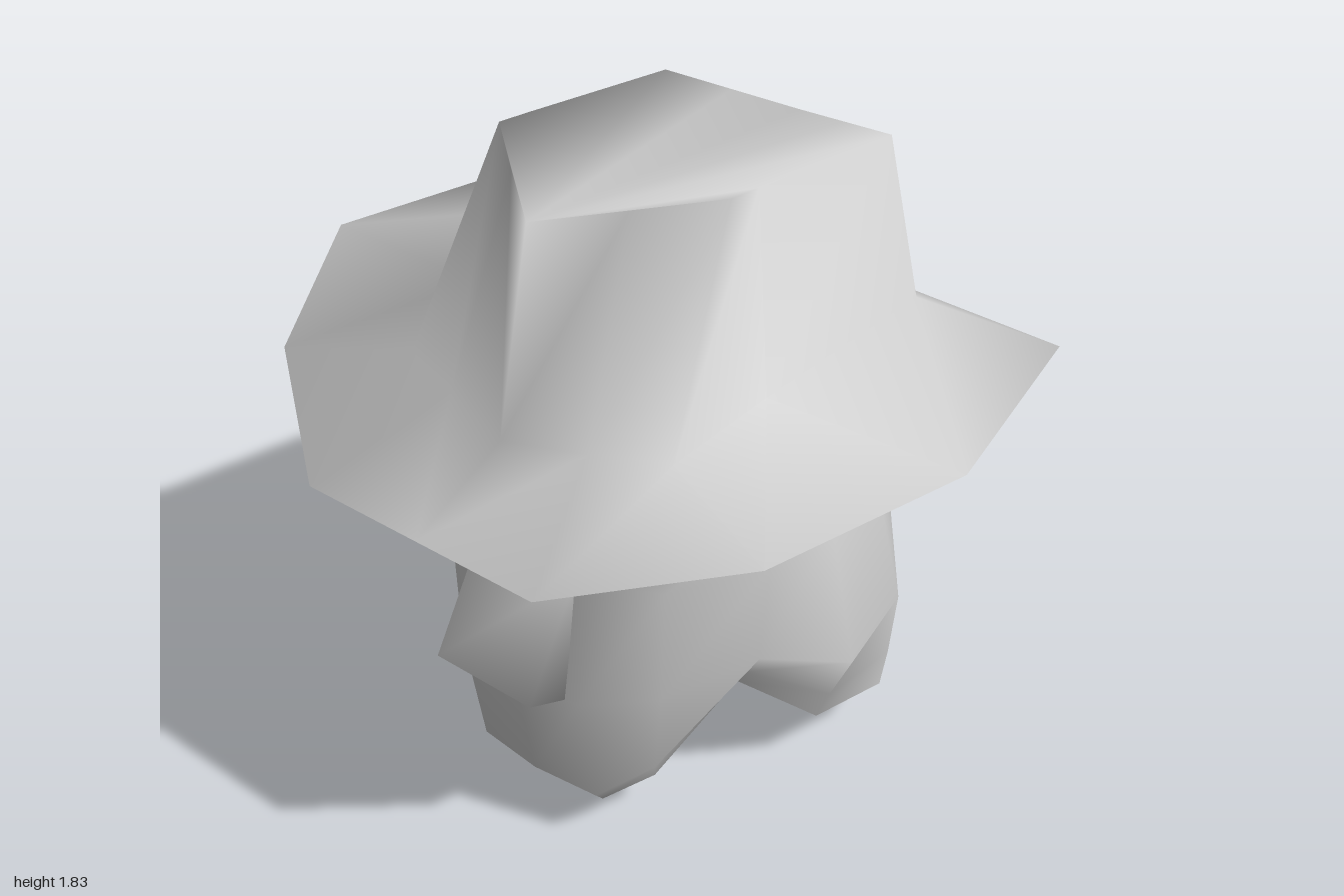
import * as THREE from 'three';

// Complete a half loop (front centre -> +x side -> back centre) by mirroring it in x.
const fullLoop = (half) => [
  ...half,
  ...half.slice(1, -1).reverse().map(([x, y, z]) => [-x, y, z]),
];

function smoothGeometry(points, index) {
  const g = new THREE.BufferGeometry();
  g.setAttribute('position', new THREE.Float32BufferAttribute(points.flat(), 3));
  g.setIndex(index);
  g.computeVertexNormals();
  return g;
}

// Skin between loops listed from top to bottom; optionally close the top.
function loft(halfLoops, capTop) {
  const loops = halfLoops.map(fullLoop);
  const n = loops[0].length;
  const index = [];
  for (let r = 0; r < loops.length - 1; r++) {
    for (let c = 0; c < n; c++) {
      const a = r * n + c, b = r * n + (c + 1) % n;
      // mirrored diagonals on the two halves
      if (c < n / 2) index.push(a, a + n, b, b, a + n, b + n);
      else index.push(a, a + n, b + n, a, b + n, b);
    }
  }
  if (capTop) for (let k = 1; k < n - 1; k++) index.push(0, k, k + 1);
  return smoothGeometry(loops.flat(), index);
}

export function createModel() {
  const group = new THREE.Group();
  const grey = new THREE.MeshStandardMaterial({ color: 0xcccccc, side: THREE.DoubleSide });
  grey.name = 'light grey';
  const add = (name, geometry) => {
    const mesh = new THREE.Mesh(geometry, grey);
    mesh.name = name;
    group.add(mesh);
  };

  // Hat: pinched crown top, crown base, brim edge, curved underside, opening
  add('hat', loft([
    [[0, 1.768, 0.47], [0.18, 1.797, 0.325], [0.355, 1.825, 0.18], [0.357, 1.817, 0.08],
      [0.36, 1.77, -0.47], [0.18, 1.74, -0.53], [0, 1.71, -0.59]],
    [[0, 1.25, 0.59], [0.22, 1.27, 0.53], [0.42, 1.29, 0.465], [0.47, 1.355, 0.18],
      [0.47, 1.355, -0.47], [0.24, 1.33, -0.555], [0, 1.3, -0.64]],
    [[0, 1.12, 0.88], [0.36, 1.12, 0.88], [0.77, 1.23, 0.59], [1, 1.355, 0.17],
      [0.88, 1.355, -0.47], [0.48, 1.18, -0.71], [0, 1.18, -0.88]],
    [[0, 1.06, 0.735], [0.28, 1.065, 0.71], [0.58, 1.13, 0.53], [0.72, 1.225, 0.18],
      [0.69, 1.22, -0.35], [0.4, 1.095, -0.62], [0, 1.09, -0.76]],
    [[0, 1, 0.59], [0.19, 1, 0.52], [0.37, 1, 0.455], [0.47, 1, 0.18],
      [0.46, 1, -0.13], [0.31, 1, -0.53], [0, 1, -0.64]],
  ], true));

  // Head covering: open shell with a chin in front, side notches and a long back
  add('headCovering', loft([
    [[0, 1, 0.59], [0.19, 1, 0.52], [0.37, 1, 0.455], [0.47, 1, 0.18],
      [0.46, 1, -0.13], [0.395, 1, -0.32], [0.31, 1, -0.53], [0, 1, -0.64]],
    [[0, 0.88, 0.53], [0.2, 0.88, 0.51], [0.37, 0.88, 0.43], [0.5, 0.88, 0.18],
      [0.53, 0.88, -0.05], [0.46, 0.88, -0.35], [0.29, 0.88, -0.61], [0, 0.88, -0.68]],
    [[0, 0.53, 0.59], [0.2, 0.53, 0.57], [0.35, 0.53, 0.42], [0.48, 0.58, 0.18],
      [0.64, 0.53, -0.01], [0.56, 0.5, -0.36], [0.26, 0.65, -0.74], [0, 0.65, -0.76]],
    [[0, 0.18, 0.53], [0.2, 0.18, 0.51], [0.28, 0.22, 0.36], [0.43, 0.51, 0.18],
      [0.54, 0.33, -0.07], [0.545, 0.3, -0.355], [0.28, 0.3, -0.76], [0, 0.3, -0.76]],
    [[0, 0.12, 0.47], [0.18, 0.12, 0.46], [0.23, 0.12, 0.3], [0.41, 0.47, 0.18],
      [0.47, 0.18, -0.12], [0.53, 0.18, -0.35], [0.29, 0, -0.76], [0, 0, -0.76]],
  ], false));

  // Nose: wide wedge with a straight lower edge
  const w = 0.16;
  add('nose', smoothGeometry(
    [[-w, 0.88, 0.52], [w, 0.88, 0.52], [-w, 0.59, 0.7], [w, 0.59, 0.7], [-w, 0.53, 0.57], [w, 0.53, 0.57]],
    [0, 2, 1, 1, 2, 3, 2, 4, 3, 3, 4, 5, 0, 4, 2, 1, 3, 5],
  ));

  return group;
}
